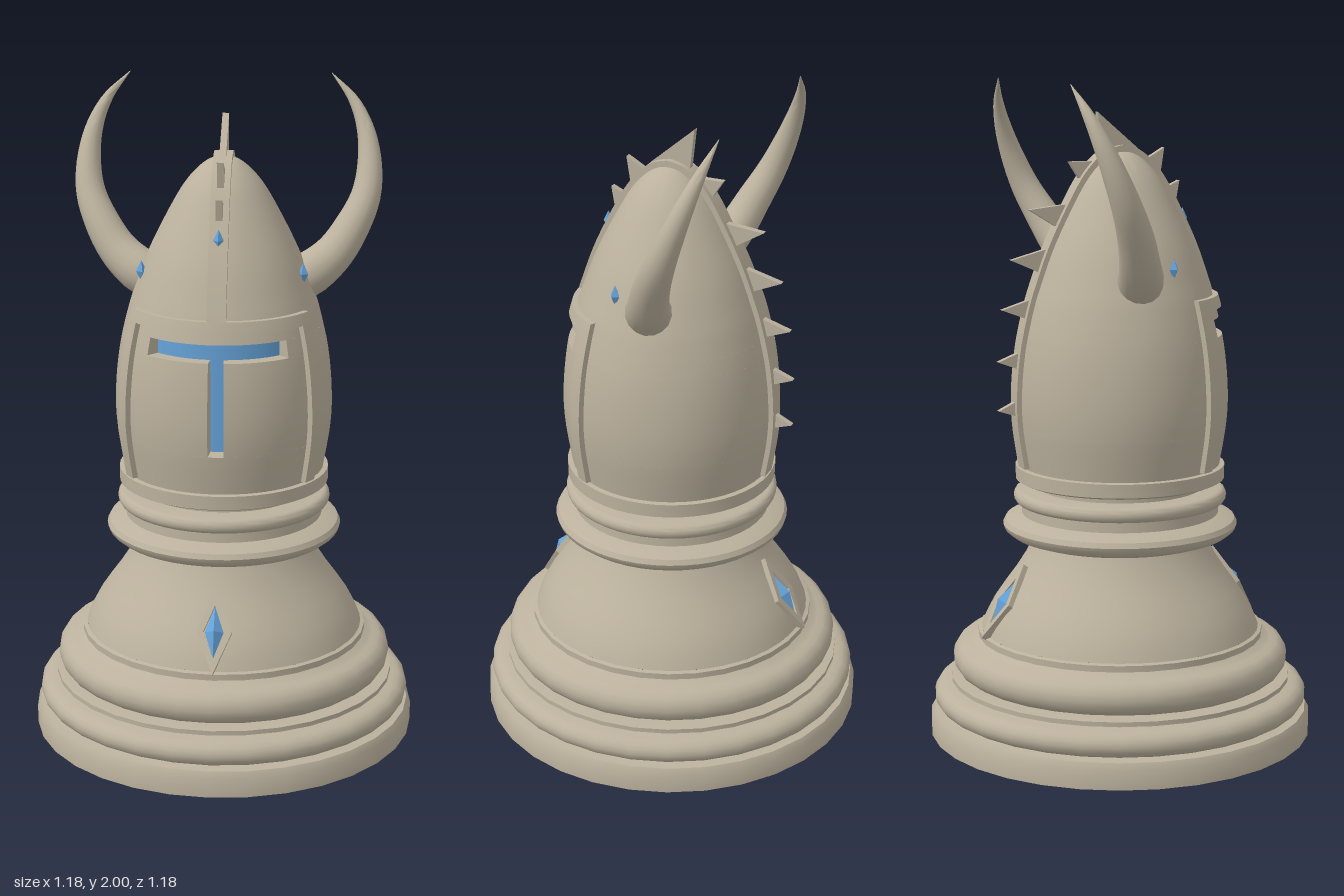
import * as THREE from 'three';
import { toCreasedNormals } from 'three/addons/utils/BufferGeometryUtils.js';

const stone = new THREE.MeshStandardMaterial({ color: 0xbbb19d });
stone.name = 'warm stone';
const blue = new THREE.MeshStandardMaterial({ color: 0x66a3d9 });
blue.name = 'gem blue';

const V2 = (a) => a.map(([x, y]) => new THREE.Vector2(x, y));

// Helmet outline as radius against height
const helmetCurve = new THREE.SplineCurve(V2([
  [0.303, 0.83], [0.325, 0.97], [0.328, 1.08], [0.315, 1.21], [0.288, 1.33], [0.262, 1.41],
  [0.228, 1.5], [0.185, 1.59], [0.13, 1.69], [0.088, 1.745], [0.045, 1.78], [0, 1.793],
]));
const samples = helmetCurve.getPoints(110);
function radiusAt(y) {
  const i = Math.max(1, samples.findIndex((p) => p.y >= y));
  const a = samples[i - 1], b = samples[i];
  return a.x + (b.x - a.x) * (y - a.y) / (b.y - a.y);
}

export function createModel() {
  const root = new THREE.Group();
  root.name = 'helmetChessPiece';

  function add(name, geometry, material = stone, parent = root) {
    const mesh = new THREE.Mesh(geometry, material);
    mesh.name = name;
    parent.add(mesh);
    return mesh;
  }
  const lathe = (points, sides) => toCreasedNormals(new THREE.LatheGeometry(points, sides), 0.6);

  // Curved block wrapped round the axis; angle 0 faces the front
  function shell(t0, t1, y0, y1, outer, inner) {
    const g = new THREE.BoxGeometry(1, 1, 1,
      Math.max(2, Math.ceil((t1 - t0) * 10)), Math.max(1, Math.ceil((y1 - y0) * 30)), 1);
    const p = g.attributes.position;
    for (let i = 0; i < p.count; i++) {
      const t = t0 + (p.getX(i) + 0.5) * (t1 - t0);
      const y = y0 + (p.getY(i) + 0.5) * (y1 - y0);
      const r = p.getZ(i) > 0 ? outer(y) : inner(y);
      p.setXYZ(i, Math.sin(t) * r, y, Math.cos(t) * r);
    }
    g.computeVertexNormals();
    return g;
  }

  // Side outline (z, y) extruded across x
  function sideExtrude(points, width) {
    const g = new THREE.ExtrudeGeometry(new THREE.Shape(points), { depth: width, bevelEnabled: false });
    g.translate(0, 0, -width / 2).rotateY(-Math.PI / 2);
    return toCreasedNormals(g, 0.5);
  }

  // Rounded bead profile, from bottom to top
  function bead(r, y, dr, dy) {
    return Array.from({ length: 9 }, (_, i) => {
      const a = -Math.PI / 2 + Math.PI * i / 8;
      return [r + Math.cos(a) * dr, y + Math.sin(a) * dy];
    });
  }

  // Turned foot, bell and neck
  add('base', lathe(V2([
    [0, 0], [0.59, 0], [0.59, 0.057], [0.578, 0.078], [0.54, 0.08],
    ...bead(0.535, 0.12, 0.042, 0.038), [0.51, 0.163], [0.525, 0.168], [0.525, 0.182], [0.49, 0.186],
    ...bead(0.468, 0.238, 0.05, 0.052), [0.455, 0.296], [0.44, 0.305], [0.44, 0.324], [0.428, 0.328],
  ]), 32));
  add('bell', lathe(V2([
    [0.428, 0.328], [0.415, 0.362], [0.392, 0.405], [0.36, 0.452], [0.325, 0.5],
    [0.293, 0.55], [0.268, 0.6], [0.262, 0.615],
  ]), 48));
  add('neck', lathe(V2([
    [0.262, 0.61], [0.3, 0.612], [0.335, 0.624], [0.355, 0.64], [0.36, 0.655], [0.352, 0.67],
    [0.33, 0.68], [0.302, 0.688], [0.3, 0.718], ...bead(0.307, 0.742, 0.019, 0.022),
    [0.255, 0.767], [0.255, 0.79], [0.305, 0.79], [0.32, 0.797], [0.32, 0.838], [0.29, 0.842],
  ]), 48));

  // Helmet bowl, divided round the T-shaped eye and nose slot
  const helmet = new THREE.Group();
  helmet.name = 'helmet';
  root.add(helmet);
  const depth = () => 0.267;
  const slotLow = 0.96, slotMid = 1.24, slotTop = 1.292, eye = 0.73, nose = 0.072;
  const at = (y) => new THREE.Vector2(radiusAt(y), y);
  add('helmetLower', lathe([...samples.filter((p) => p.y < slotLow), at(slotLow),
    new THREE.Vector2(0.26, slotLow)], 64), stone, helmet);
  add('helmetCheeks', shell(nose, 2 * Math.PI - nose, slotLow, slotMid, radiusAt, depth), stone, helmet);
  add('helmetBrowBand', shell(eye, 2 * Math.PI - eye, slotMid, slotTop, radiusAt, depth), stone, helmet);
  add('helmetCrown', lathe([new THREE.Vector2(0.26, slotTop), at(slotTop),
    ...samples.filter((p) => p.y > slotTop + 0.002)], 64), stone, helmet);
  add('slotLining', shell(-eye - 0.05, eye + 0.05, slotLow - 0.02, slotTop + 0.01,
    () => 0.268, () => 0.26), blue, helmet);

  // Raised visor frame
  const raised = (y) => radiusAt(y) + 0.017;
  const sunk = (y) => radiusAt(y) - 0.02;
  add('visorTopBar', shell(-1.07, 1.07, 1.325, 1.36, raised, sunk), stone, helmet);
  add('visorLeftBar', shell(0.93, 1.07, 0.845, 1.325, raised, sunk), stone, helmet);
  add('visorRightBar', shell(-1.07, -0.93, 0.845, 1.325, raised, sunk), stone, helmet);

  // Crest band from brow, over the top, down the back
  function ridge(offset) {
    const half = (yMin, sign) => {
      const out = [];
      for (let i = 0; i <= 60; i++) {
        const p = helmetCurve.getPoint(i / 60), t = helmetCurve.getTangent(i / 60);
        if (p.y < yMin || (i === 60 && sign < 0)) continue;
        out.push(new THREE.Vector2(sign * Math.max(0, p.x + t.y * offset), p.y - t.x * offset));
      }
      return out;
    };
    return [...half(1.34, 1), ...half(0.84, -1).reverse()];
  }
  add('crestBand', sideExtrude([...ridge(0.014), ...ridge(-0.02).reverse()], 0.056), stone, helmet);

  // Crest spikes: base end, tip, base end as (z, y)
  [
    [0.175, 1.61, 0.19, 1.695, 0.135, 1.67], [0.125, 1.70, 0.14, 1.795, 0.07, 1.755],
    [0.06, 1.79, -0.075, 1.905, -0.06, 1.77], [-0.075, 1.76, -0.165, 1.76, -0.12, 1.69],
    [-0.17, 1.635, -0.292, 1.622, -0.2, 1.565], [-0.235, 1.505, -0.35, 1.475, -0.26, 1.435],
    [-0.275, 1.36, -0.38, 1.328, -0.295, 1.295], [-0.31, 1.205, -0.393, 1.173, -0.322, 1.145],
    [-0.33, 1.055, -0.393, 1.025, -0.333, 1.005],
  ].forEach(([a, b, c, d, e, f]) =>
    add('crestSpike', sideExtrude(V2([[a, b], [c, d], [e, f]]), 0.02), stone, helmet));

  // Horns: swept tube with tapering rings, mirrored
  const hornRadii = [0.066, 0.069, 0.06, 0.053, 0.045, 0.037, 0.027, 0.016, 0.001];
  function horn(side) {
    const path = new THREE.CatmullRomCurve3([
      [0.2, 1.405, -0.025], [0.255, 1.43, -0.04], [0.325, 1.485, -0.072], [0.38, 1.565, -0.107],
      [0.418, 1.65, -0.147], [0.427, 1.74, -0.185], [0.413, 1.835, -0.222],
      [0.375, 1.92, -0.252], [0.307, 1.998, -0.275],
    ].map(([x, y, z]) => new THREE.Vector3(side * x, y, z)));
    const rings = 32, sides = 16;
    const g = new THREE.TubeGeometry(path, rings, 1, sides);
    const p = g.attributes.position, v = new THREE.Vector3();
    for (let i = 0; i <= rings; i++) {
      const c = path.getPointAt(i / rings);
      const u = path.getUtoTmapping(i / rings) * 8;
      const k = Math.min(7, Math.floor(u));
      const r = hornRadii[k] + (hornRadii[k + 1] - hornRadii[k]) * (u - k);
      for (let j = 0; j <= sides; j++) {
        const n = i * (sides + 1) + j;
        v.fromBufferAttribute(p, n).sub(c).multiplyScalar(r).add(c);
        p.setXYZ(n, v.x, v.y, v.z);
      }
    }
    return toCreasedNormals(g, 1.2);
  }
  add('leftHorn', horn(1), stone, helmet);
  add('rightHorn', horn(-1), stone, helmet);

  // Small diamond studs on the helmet
  const stud = (w, h, d) => new THREE.OctahedronGeometry(1).scale(w, h, d).toNonIndexed();
  [[0, 1.58, 0.205], [0.24, 1.455, 0.072], [-0.24, 1.455, 0.072]].forEach(([x, y, z]) => {
    const m = add('helmetStud', stud(0.016, 0.033, 0.016), blue, helmet);
    m.position.set(x, y, z);
    m.rotation.y = Math.atan2(x, z);
  });

  // Framed diamonds on the front and back of the bell
  const diamond = (w, h) => V2([[0, -h], [w, 0], [0, h], [-w, 0]]);
  const frameShape = new THREE.Shape(diamond(0.053, 0.128));
  frameShape.holes.push(new THREE.Path(diamond(0.032, 0.08)));
  const frameGeometry = new THREE.ExtrudeGeometry(frameShape, { depth: 0.04, bevelEnabled: false });
  frameGeometry.translate(0, 0, -0.04);
  [0, Math.PI].forEach((turn) => {
    const spin = new THREE.Group();
    spin.name = turn ? 'backDiamond' : 'frontDiamond';
    spin.rotation.y = turn;
    const tilt = new THREE.Group();
    tilt.name = 'diamondMount';
    tilt.position.set(0, 0.437, 0.385);
    tilt.rotation.x = -0.57;
    spin.add(tilt);
    root.add(spin);
    add('diamondFrame', frameGeometry, stone, tilt);
    add('diamondGem', stud(0.028, 0.078, 0.026), blue, tilt).position.z = -0.008;
  });

  return root;
}
